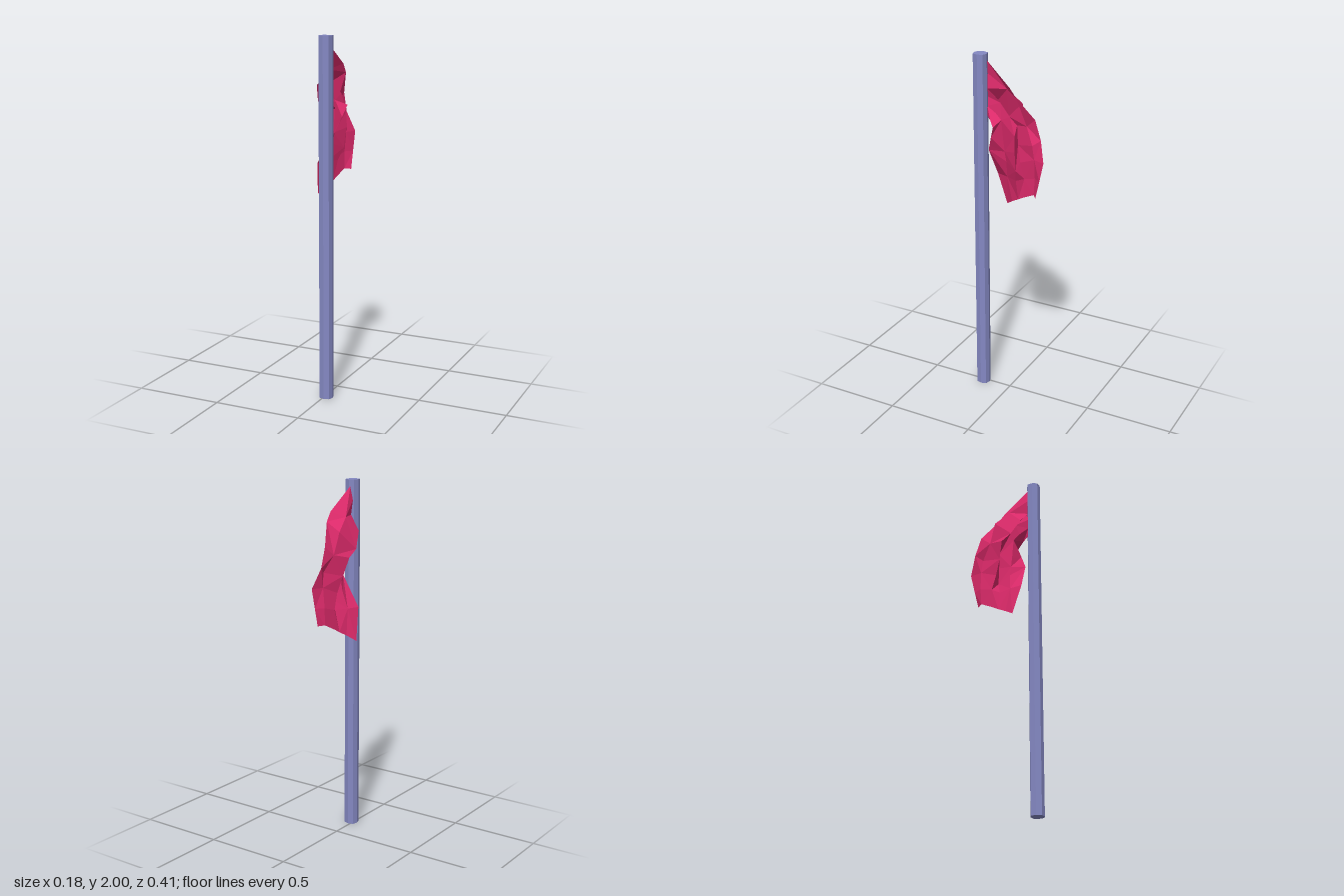
import * as THREE from 'three';

const POLE_X = 0.0125, POLE_Z = 0.168;

// Rows run from the hoist (at the pole) to the fly end; each row lists points from
// the top edge over the outer bulge, the inner ridge and the valley to the bottom edge.
const CLOTH_ROWS = [
  [[0.005, 1.965, 0.135], [-0.01, 1.89, 0.138], [0, 1.81, 0.135], [-0.015, 1.76, 0.139], [-0.005, 1.71, 0.138], [0, 1.66, 0.137]],
  [[0.03, 1.84, -0.015], [-0.035, 1.81, 0.035], [-0.07, 1.73, 0.108], [-0.005, 1.74, 0.06], [0, 1.68, 0.085], [0.035, 1.648, 0.1]],
  [[0.028, 1.79, -0.052], [-0.052, 1.74, -0.048], [-0.089, 1.64, 0.055], [0.02, 1.68, -0.01], [0.01, 1.65, 0.047], [0.087, 1.63, 0.056]],
  [[-0.022, 1.67, -0.138], [-0.038, 1.62, -0.08], [-0.083, 1.6, 0], [0.034, 1.58, -0.045], [0, 1.53, 0.04], [0.065, 1.565, 0.08]],
  [[-0.022, 1.56, -0.173], [-0.005, 1.53, -0.13], [-0.055, 1.5, -0.02], [0.033, 1.49, -0.045], [-0.005, 1.47, 0.035], [0.045, 1.51, 0.1]],
  [[0.015, 1.45, -0.207], [-0.01, 1.45, -0.14], [-0.035, 1.41, -0.045], [0.02, 1.38, -0.045], [-0.015, 1.41, 0.03], [0.035, 1.48, 0.11]],
  [[0.013, 1.34, -0.183], [-0.02, 1.34, -0.14], [-0.035, 1.32, -0.07], [-0.01, 1.31, -0.03], [-0.045, 1.31, 0.04], [-0.068, 1.31, 0.11]],
  [[0.012, 1.24, -0.16], [-0.018, 1.245, -0.135], [-0.033, 1.21, -0.065], [-0.04, 1.19, -0.03], [-0.055, 1.165, 0.015], [-0.088, 1.13, 0.062]],
];

// Skin a grid of points with triangles, alternating the diagonals
function loft(rows) {
  const cols = rows[0].length, index = [];
  for (let r = 0; r < rows.length - 1; r++) {
    for (let c = 0; c < cols - 1; c++) {
      const a = r * cols + c, b = a + 1, d = a + cols, e = d + 1;
      if ((r + c) % 2) index.push(a, d, b, b, d, e);
      else index.push(a, d, e, a, e, b);
    }
  }
  const geometry = new THREE.BufferGeometry();
  geometry.setAttribute('position', new THREE.Float32BufferAttribute(rows.flat(2), 3));
  geometry.setIndex(index);
  geometry.computeVertexNormals();
  return geometry;
}

// Eight-sided bar, a little squarer than a regular octagon
function poleGeometry() {
  const outline = Array.from({ length: 8 }, (_, i) => {
    const angle = i * Math.PI / 4, radius = i % 2 ? 0.0412 : 0.0378;
    return new THREE.Vector2(radius * Math.cos(angle), radius * Math.sin(angle));
  });
  return new THREE.ExtrudeGeometry(new THREE.Shape(outline), { depth: 2, bevelEnabled: false })
    .rotateX(-Math.PI / 2);
}

export function createModel() {
  const model = new THREE.Group();
  model.name = 'flagOnPole';

  // Pole
  const pole = new THREE.Mesh(
    poleGeometry(),
    new THREE.MeshStandardMaterial({ color: 0x8488c2, flatShading: true })
  );
  pole.name = 'pole';
  pole.position.set(POLE_X, 0, POLE_Z);
  model.add(pole);

  // Limp, folded cloth
  const cloth = new THREE.Mesh(
    loft(CLOTH_ROWS),
    new THREE.MeshStandardMaterial({ color: 0xdc2a6a, flatShading: true, side: THREE.DoubleSide })
  );
  cloth.name = 'flagCloth';
  model.add(cloth);

  return model;
}
